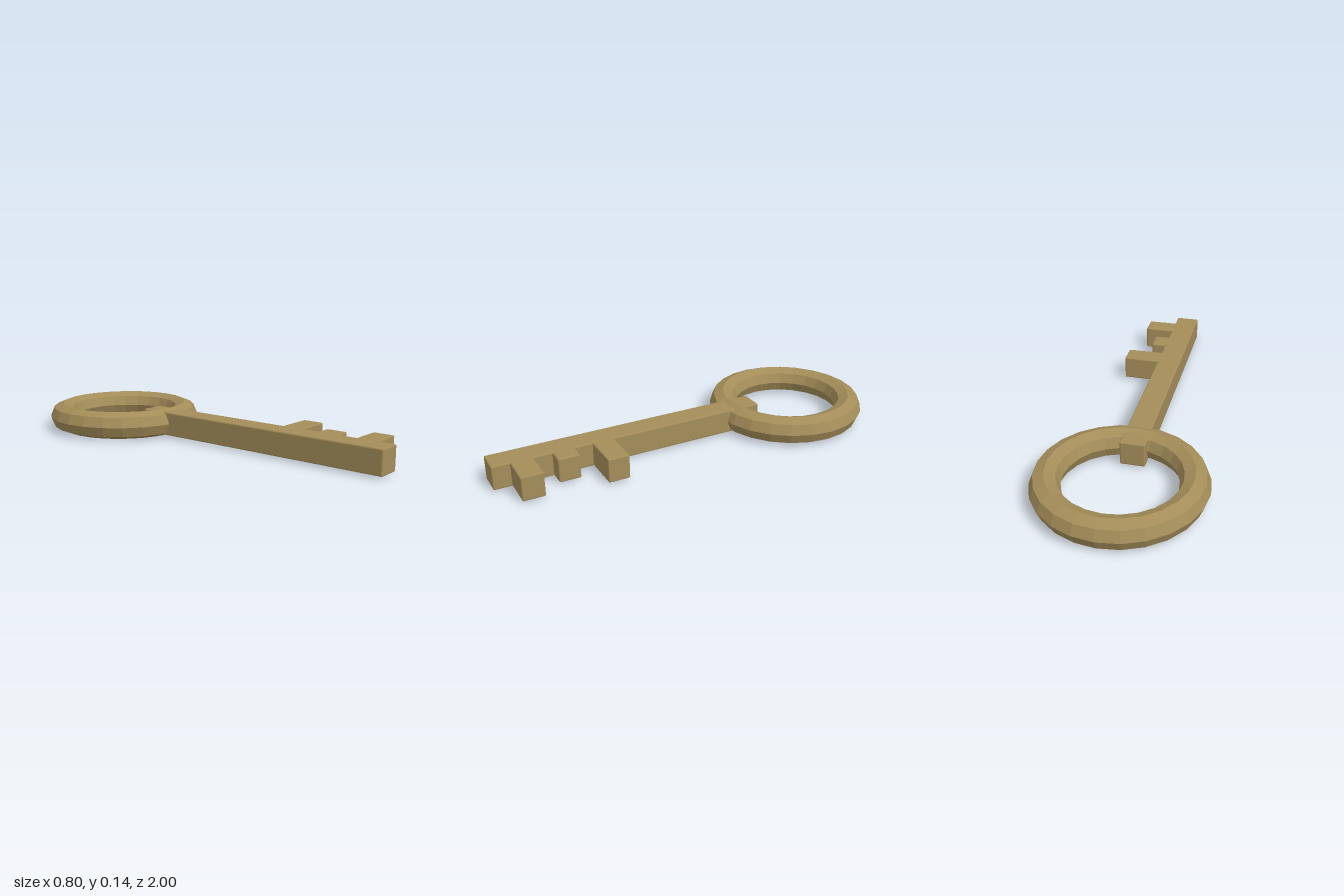
import * as THREE from 'three';
import { RoundedBoxGeometry } from 'three/addons/geometries/RoundedBoxGeometry.js';

const BOTTOM = 0.01, TOP = 0.13, BEVEL = 0.006;

export function createModel() {
  const key = new THREE.Group();
  key.name = 'key';

  const brass = new THREE.MeshStandardMaterial({ color: 0xa48d59 });
  brass.name = 'aged brass';

  function add(name, geometry) {
    // Unshared vertices give crisp facets
    const faceted = geometry.index ? geometry.toNonIndexed() : geometry;
    faceted.computeVertexNormals();
    const mesh = new THREE.Mesh(faceted, brass);
    mesh.name = name;
    key.add(mesh);
    return mesh;
  }

  // Bar with slightly bevelled edges, lying flat
  function addBar(name, x0, x1, z0, z1) {
    const bar = add(name, new RoundedBoxGeometry(x1 - x0, TOP - BOTTOM, z1 - z0, 1, BEVEL));
    bar.position.set((x0 + x1) / 2, (BOTTOM + TOP) / 2, (z0 + z1) / 2);
  }

  // Ring handle
  const ring = add('ringHandle', new THREE.TorusGeometry(0.33, 0.07, 8, 24));
  ring.rotation.x = -Math.PI / 2;
  ring.position.set(0, 0.07, -0.6);

  // Shaft, its back end poking through the ring
  addBar('shaft', -0.06, 0.06, -0.39, 1);

  // Teeth on the left side: reach, start and end
  const teeth = [
    ['innerTooth', 0.243, 0.417, 0.523],
    ['middleTooth', 0.135, 0.613, 0.718],
    ['outerTooth', 0.212, 0.808, 0.914],
  ];
  for (const [name, reach, z0, z1] of teeth) addBar(name, 0, reach, z0, z1);

  return key;
}
